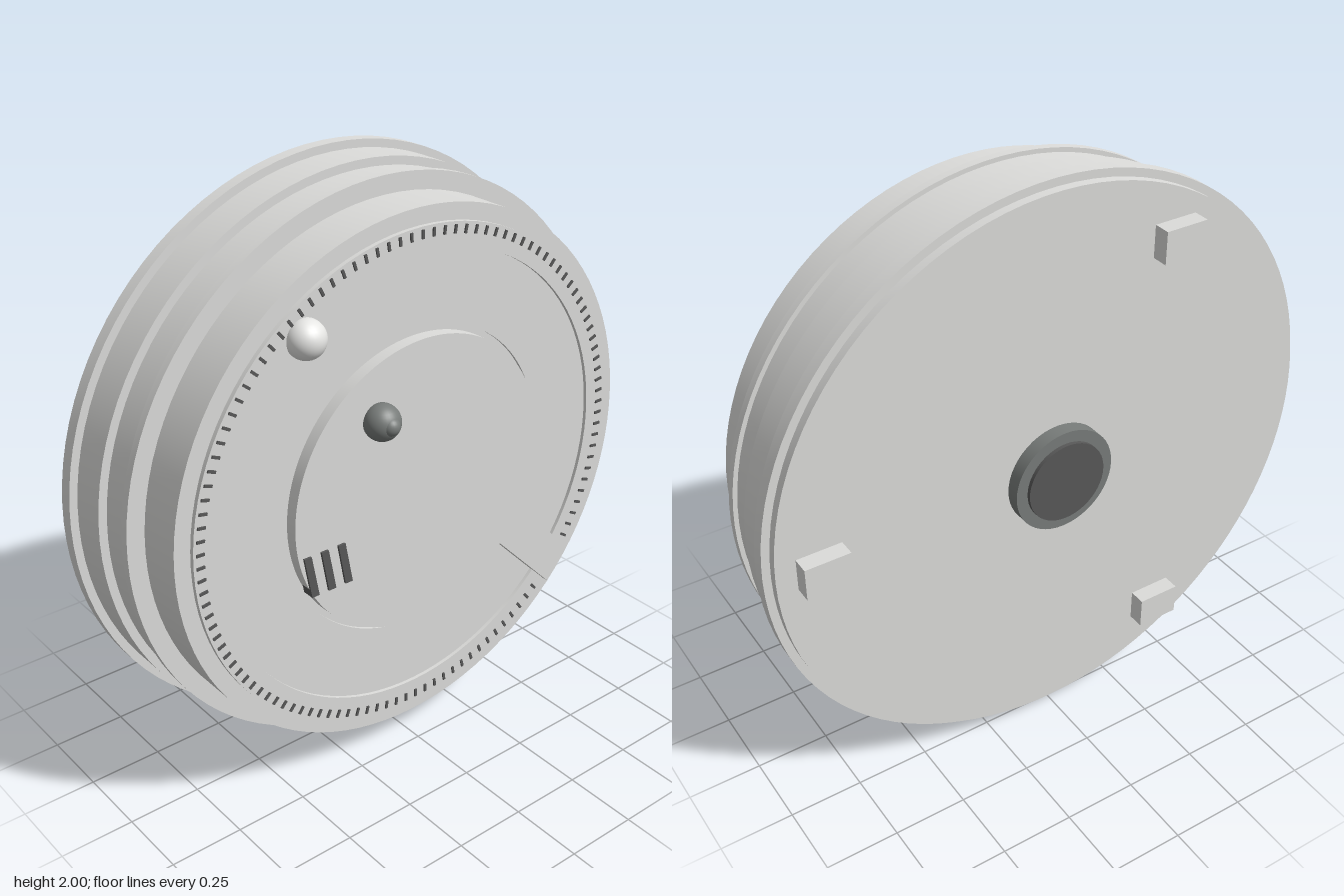
import * as THREE from 'three';
import { mergeGeometries, toCreasedNormals } from 'three/addons/utils/BufferGeometryUtils.js';

const mat = (name, color) => {
  const m = new THREE.MeshStandardMaterial({ color });
  m.name = name;
  return m;
};

export function createModel() {
  const shell = mat('shell grey', 0xdcdcda);
  const lampWhite = mat('lamp white', 0xe6e6e4);
  const midGrey = mat('mid grey', 0x787c7a);
  const darkGrey = mat('dark grey', 0x585858);

  // Everything is built around the z axis, then lifted to stand on y = 0.
  const group = new THREE.Group();
  group.name = 'smokeDetector';
  const add = (name, geometry, material, x = 0, y = 0, z = 0) => {
    const mesh = new THREE.Mesh(geometry, material);
    mesh.name = name;
    mesh.position.set(x, y + 1, z);
    group.add(mesh);
    return mesh;
  };
  // Profile of [radius, z] points, listed from back to front
  const turned = (points, segments) => toCreasedNormals(
    new THREE.LatheGeometry(points.map(([r, z]) => new THREE.Vector2(r, z)), segments)
      .rotateX(Math.PI / 2), 0.5);

  // Stepped round housing with raised tick ring and groove around the button
  add('housing', turned([
    [0, -0.28], [0.973, -0.28], [0.973, -0.25], [1, -0.25], [1, -0.205],
    [0.973, -0.205], [0.973, -0.08], [0.945, -0.08], [0.945, 0.03],
    [0.96, 0.03], [0.96, 0.058], [0.9, 0.058], [0.9, 0.215],
    [0.845, 0.215], [0.845, 0.23], [0.765, 0.23], [0.765, 0.218],
    [0.52, 0.218], [0.52, 0.208], [0, 0.208],
  ], 96), shell);

  // Test button: a disc with a tab reaching to the rim
  const button = new THREE.Shape();
  button.absarc(0, 0, 0.5, Math.atan2(-0.23, 0.439), Math.atan2(-0.353, 0.358) + Math.PI * 2, false);
  button.lineTo(0.604, -0.6);
  button.lineTo(0.686, -0.487);
  button.closePath();
  add('testButton', toCreasedNormals(new THREE.ExtrudeGeometry(button,
    { depth: 0.05, bevelEnabled: false, curveSegments: 72 }), 0.5), shell, 0, 0, 0.2);

  // Ring of small vent ticks
  const ticks = [];
  const count = 120;
  for (let i = 0; i < count; i++) {
    ticks.push(new THREE.BoxGeometry(0.028, 0.009, 0.008)
      .translate(0.822, 0, 0.231)
      .rotateZ((i / count) * Math.PI * 2));
  }
  // Leave out the ticks hidden beneath the button tab
  const shown = ticks.filter((_, i) => {
    const degrees = (i / count) * 360;
    return degrees < 315 || degrees > 325;
  });
  add('ventTicks', mergeGeometries(shown), darkGrey);

  // Three slanted sounder slots
  for (let i = 0; i < 3; i++) {
    const slot = new THREE.Shape([[-0.474, -0.095], [-0.448, -0.24], [-0.42, -0.24], [-0.447, -0.095]]
      .map(([x, y]) => new THREE.Vector2(x + i * 0.065, y)));
    add('sounderSlot', new THREE.ExtrudeGeometry(slot, { depth: 0.043, bevelEnabled: false }),
      darkGrey, 0, 0, 0.215);
  }

  // Indicator lamp and sensor knob with a small tip
  add('indicatorLamp', new THREE.SphereGeometry(0.062, 32, 20), lampWhite, -0.437, 0.61, 0.24);
  add('sensorKnob', new THREE.SphereGeometry(0.06, 32, 20), midGrey, -0.185, 0.285, 0.272);
  add('sensorTip', new THREE.SphereGeometry(0.031, 24, 16), midGrey, -0.185, 0.285, 0.311);

  // Rear hub with darker centre cap
  add('rearHub', turned([[0, -0.327], [0.18, -0.327], [0.18, -0.28]], 48), midGrey);
  add('rearHubCap', turned([[0, -0.34], [0.14, -0.34], [0.14, -0.327]], 48), darkGrey);

  // Three mounting feet on the back
  for (let i = 0; i < 3; i++) {
    const a = (i * Math.PI * 2) / 3;
    add('mountingFoot', new THREE.BoxGeometry(0.15, 0.11, 0.06), shell,
      0.83 * Math.cos(a), 0.83 * Math.sin(a), -0.307);
  }
  return group;
}
